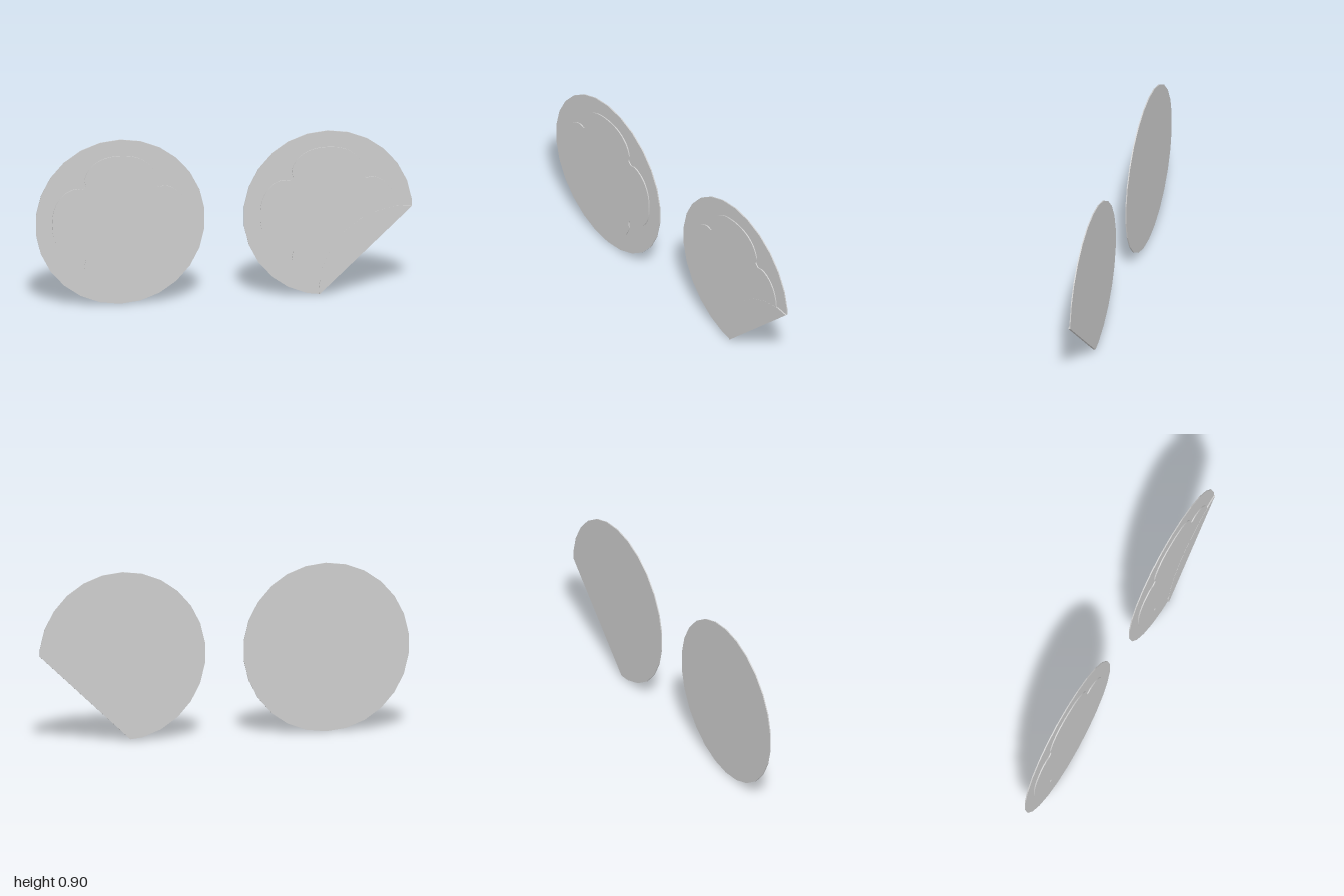
import * as THREE from 'three';

const R = 0.451, SIDES = 26, CX = 0.553;
// Fold line of the peeled disc: points p with p . N = D
const N = new THREE.Vector2(0.687, -0.727).normalize(), D = 0.294;

// 26-sided disc outline with a corner at the top
function discOutline() {
  return Array.from({ length: SIDES }, (_, i) => {
    const a = Math.PI / 2 + (i / SIDES) * Math.PI * 2;
    return new THREE.Vector2(R * Math.cos(a), R * Math.sin(a));
  });
}

// Smooth four-lobed outline, one quarter turned four times
function lobedOutline() {
  const half = [[0.05, 0.359], [0.115, 0.338], [0.165, 0.296], [0.19, 0.24], [0.185, 0.205]];
  const quarter = [...half, [0.194, 0.193], ...half.map(([x, y]) => [y, x]).reverse()];
  const pts = [];
  for (let q = 0; q < 4; q++) {
    const c = Math.round(Math.cos(q * Math.PI / 2)), s = Math.round(Math.sin(q * Math.PI / 2));
    for (const [x, y] of quarter) pts.push(new THREE.Vector3(c * x + s * y, c * y - s * x, 0));
  }
  return new THREE.CatmullRomCurve3(pts, true).getPoints(176).slice(0, -1)
    .map((p) => new THREE.Vector2(p.x, p.y));
}

// Keeps the part of a polygon on one side of the fold line
function clip(points, sign) {
  const dist = (p) => sign * (p.dot(N) - D);
  const out = [];
  points.forEach((a, i) => {
    const b = points[(i + 1) % points.length], da = dist(a), db = dist(b);
    if (da >= 0) out.push(a);
    if (da * db < 0) out.push(a.clone().lerp(b, da / (da - db)));
  });
  return out;
}

// Mirrors a point across the fold line
const fold = (p) => p.clone().addScaledVector(N, -2 * (p.dot(N) - D));

export function createModel() {
  const model = new THREE.Group();
  const grey = new THREE.MeshStandardMaterial({ name: 'lightGrey', color: 0xcccccc });

  function slab(name, points, z, depth, parent) {
    const geometry = new THREE.ExtrudeGeometry(new THREE.Shape(points), { depth, bevelEnabled: false });
    const mesh = new THREE.Mesh(geometry, grey);
    mesh.name = name;
    mesh.position.z = z;
    parent.add(mesh);
  }

  function sticker(name, x) {
    const group = new THREE.Group();
    group.name = name;
    group.position.set(x, R, 0);
    model.add(group);
    return group;
  }

  // Whole disc with its raised lobed plate
  const whole = sticker('wholeDisc', -CX);
  slab('backing', discOutline(), -0.006, 0.006, whole);
  slab('lobedPlate', lobedOutline(), 0, 0.006, whole);

  // Disc with its lower corner folded over the front
  const peeled = sticker('foldedDisc', CX);
  slab('backing', clip(discOutline(), -1), -0.006, 0.006, peeled);
  slab('lobedPlate', clip(lobedOutline(), -1), 0, 0.006, peeled);
  slab('foldedFlap', clip(discOutline(), 1).map(fold), 0, 0.007, peeled);

  return model;
}
